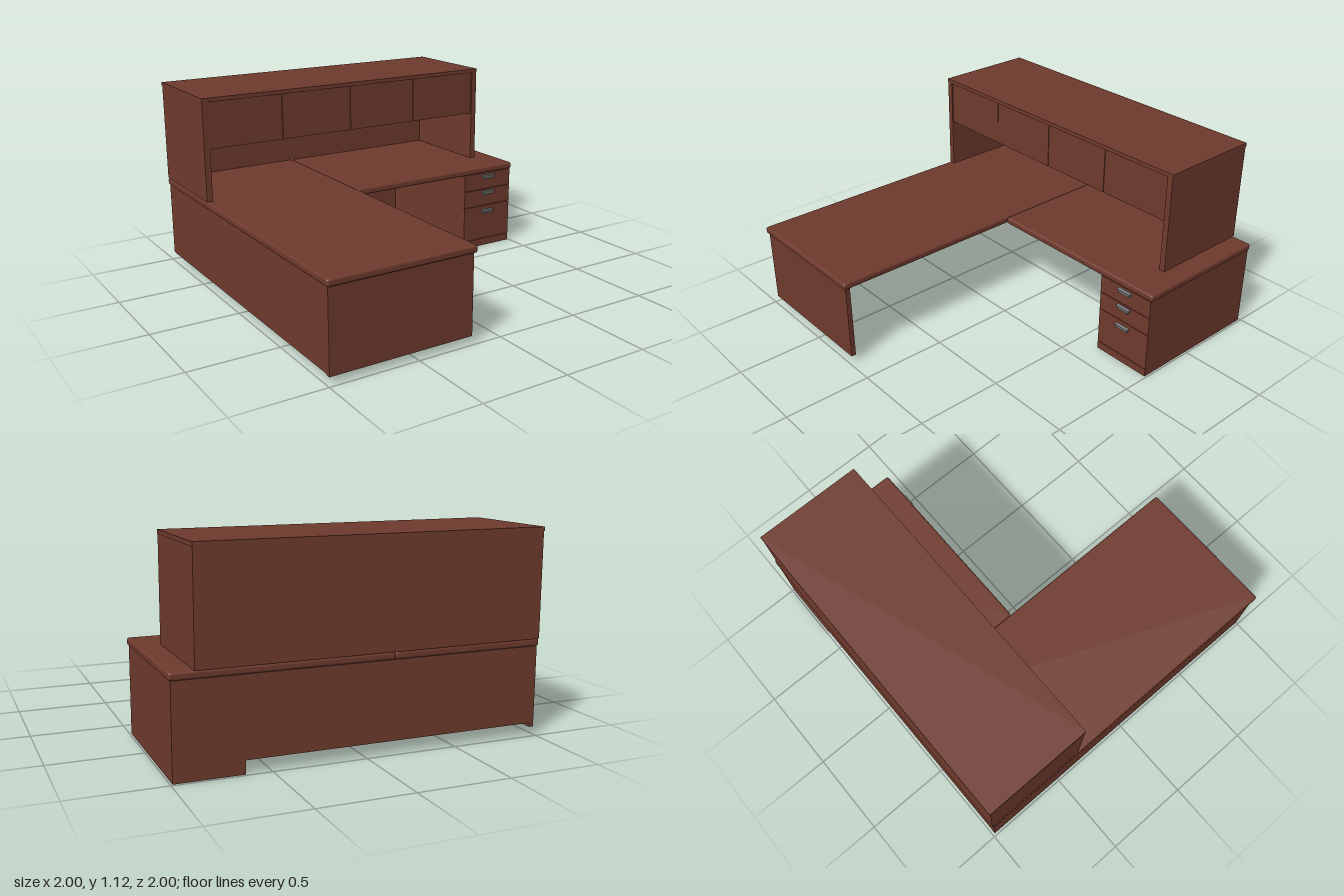
import * as THREE from 'three';
import { RoundedBoxGeometry } from 'three/addons/geometries/RoundedBoxGeometry.js';

export function createModel() {
  const group = new THREE.Group();
  group.name = 'cornerDesk';
  const wood = new THREE.MeshStandardMaterial({ color: 0x6f3a2d });
  wood.name = 'cherry wood';
  const metal = new THREE.MeshStandardMaterial({ color: 0x808284 });
  metal.name = 'grey metal';

  const add = (name, geometry, material, x, y, z) => {
    const mesh = new THREE.Mesh(geometry, material);
    mesh.name = name;
    mesh.position.set(x, y, z);
    group.add(mesh);
    return mesh;
  };
  // Wooden panel given by its limits; a radius rounds its edges
  const panel = (name, x0, x1, y0, y1, z0, z1, radius = 0) => {
    const size = [x1 - x0, y1 - y0, z1 - z0];
    const geometry = radius
      ? new RoundedBoxGeometry(...size, 3, radius)
      : new THREE.BoxGeometry(...size);
    return add(name, geometry, wood, (x0 + x1) / 2, (y0 + y1) / 2, (z0 + z1) / 2);
  };

  // Worktops meeting in an L
  panel('longWorktop', -1, -0.155, 0.487, 0.528, -0.993, 1, 0.013);
  panel('returnWorktop', -0.155, 1, 0.487, 0.528, -0.993, -0.15, 0.013);

  // Panels carrying the worktops
  panel('endPanel', -0.99, -0.17, 0.042, 0.488, 0.957, 0.985);
  panel('sidePanel', -0.99, -0.965, 0.048, 0.488, -0.988, 0.957);
  panel('backPanel', -0.965, 0.632, 0.07, 0.488, -0.988, -0.963);

  // Drawer pedestal
  panel('pedestal', 0.632, 0.99, 0, 0.488, -0.988, -0.165);
  panel('plinthFront', 0.632, 0.99, 0, 0.046, -0.165, -0.155);

  // Angled pull: narrower towards its lower, outer edge
  const pull = new THREE.BoxGeometry(0.094, 0.024, 0.024);
  const p = pull.attributes.position;
  for (let i = 0; i < p.count; i++) {
    if (p.getY(i) < 0) p.setX(i, p.getX(i) * 0.82);
    if (p.getZ(i) > 0) p.setX(i, p.getX(i) * 0.95);
    if (p.getZ(i) > 0 && p.getY(i) < 0) p.setZ(i, 0.004);
  }
  const handleGeometry = pull.toNonIndexed();
  handleGeometry.computeVertexNormals();

  const drawers = [[0.05, 0.268, 0.232], [0.272, 0.378, 0.355], [0.382, 0.487, 0.461]];
  drawers.forEach(([y0, y1, handleY], i) => {
    panel('drawerFront' + (i + 1), 0.632, 0.99, y0, y1, -0.165, -0.155);
    add('drawerHandle' + (i + 1), handleGeometry, metal, 0.811, handleY, -0.147);
  });

  // Hutch standing on the worktops
  panel('hutchTop', -0.997, 0.88, 1.092, 1.115, -1, -0.383);
  panel('hutchRightSide', -0.995, -0.96, 0.528, 1.092, -0.997, -0.385);
  panel('hutchLeftSide', 0.843, 0.878, 0.528, 1.092, -0.997, -0.385);
  panel('hutchBack', -0.96, 0.843, 0.528, 1.092, -0.997, -0.975);
  panel('hutchShelf', -0.96, 0.843, 0.83, 0.85, -0.975, -0.412);

  // Four cabinet doors
  const width = (0.843 + 0.96) / 4;
  for (let i = 0; i < 4; i++) {
    const x = -0.96 + i * width;
    panel('hutchDoor' + (i + 1), x + 0.002, x + width - 0.002, 0.826, 1.09, -0.412, -0.392);
  }

  return group;
}
